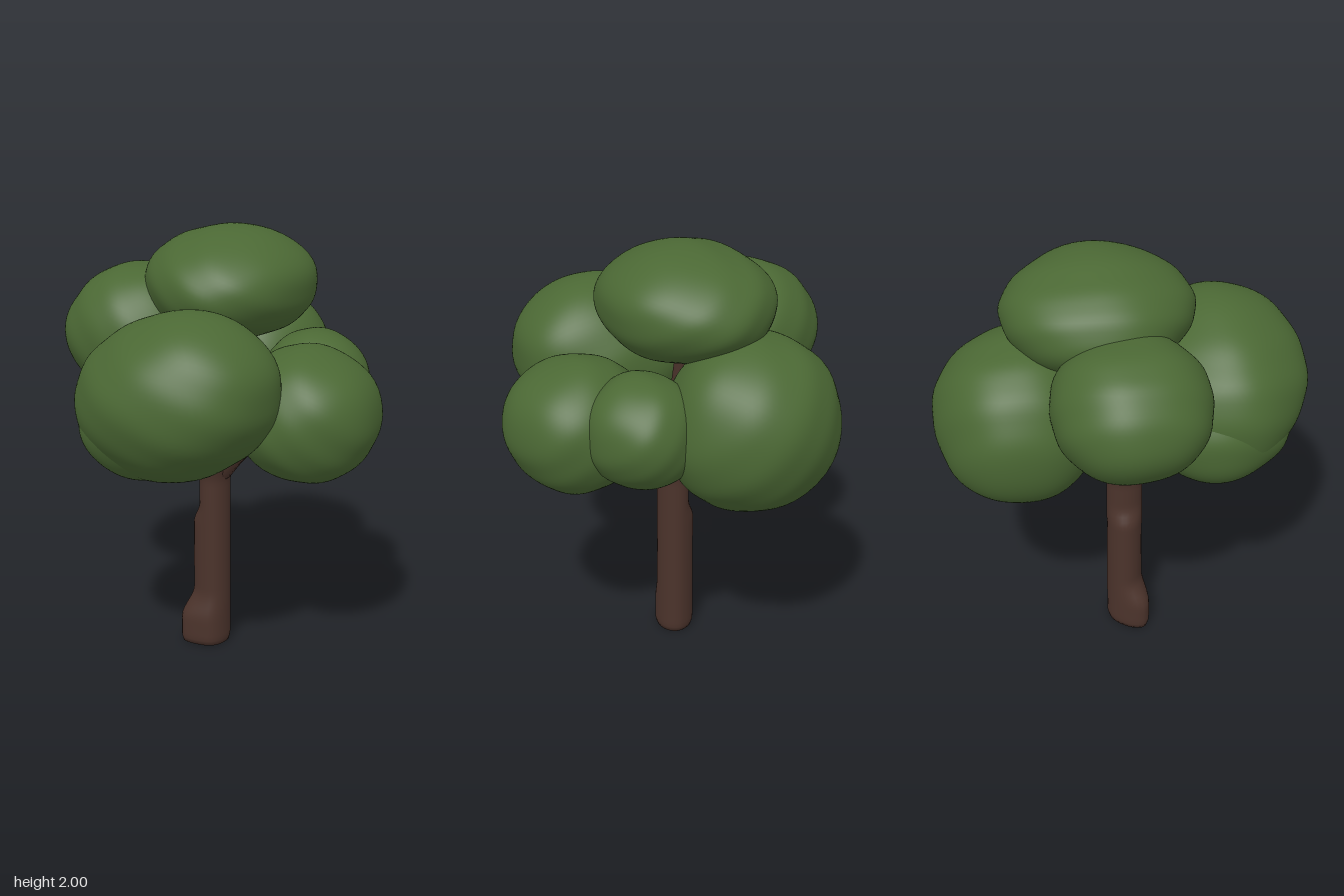
import * as THREE from 'three';
import { mergeVertices } from 'three/addons/utils/BufferGeometryUtils.js';

const leafGreen = new THREE.MeshStandardMaterial({ color: 0x4b6834 });
leafGreen.name = 'leafGreen';
const barkBrown = new THREE.MeshStandardMaterial({ color: 0x4b332b });
barkBrown.name = 'barkBrown';

// Rounded, softly lumpy ellipsoid of leaves
function leafClump(name, center, radii, tilt, seed) {
  let geo = new THREE.IcosahedronGeometry(1, 14);
  geo.deleteAttribute('uv');
  geo.deleteAttribute('normal');
  geo = mergeVertices(geo, 1e-4);
  const p = geo.attributes.position;
  const v = new THREE.Vector3();
  for (let i = 0; i < p.count; i++) {
    v.fromBufferAttribute(p, i).normalize();
    const lump = 0.014 * Math.sin(4 * v.x + seed) * Math.cos(5 * v.y + 2 * seed)
      + 0.012 * Math.sin(6 * v.z + 3 * seed + 2 * v.x)
      + 0.005 * Math.sin(11 * v.x + 9 * v.y + seed);
    v.multiplyScalar(1 + lump);
    p.setXYZ(i, v.x * radii[0], v.y * radii[1], v.z * radii[2]);
  }
  geo.computeVertexNormals();
  const mesh = new THREE.Mesh(geo, leafGreen);
  mesh.name = name;
  mesh.position.set(...center);
  mesh.rotation.z = tilt;
  return mesh;
}

// Trunk with a stepped swelling on one side and a flared foot
function trunk() {
  const H = 0.94;
  let geo = new THREE.CylinderGeometry(1, 1, H, 28, 40);
  geo.deleteAttribute('uv');
  geo.deleteAttribute('normal');
  geo = mergeVertices(geo, 1e-4);
  const p = geo.attributes.position;
  const step = THREE.MathUtils.smoothstep;
  for (let i = 0; i < p.count; i++) {
    const y = p.getY(i) + H / 2;
    const cx = p.getX(i), cz = p.getZ(i);
    const bevel = 0.9 + 0.1 * step(y, 0, 0.03);
    const swell = 0.035 * (1 - step(y, 0.6, 0.7));
    const foot = 1 - step(y, 0.12, 0.27);
    const flare = step(y, 0.82, 0.94) * 0.025;
    const side = Math.max(0, -cx);
    const toe = Math.pow(Math.max(0, -cx * 0.87 + cz * 0.5), 3);
    const x = cx * (0.07 + flare) * bevel - side * swell - toe * foot * 0.045;
    const z = cz * (0.084 + flare) * bevel + toe * foot * 0.035 + Math.max(0, cz) * foot * 0.022;
    p.setXYZ(i, x - 0.045, y, z + 0.015);
  }
  geo.computeVertexNormals();
  const mesh = new THREE.Mesh(geo, barkBrown);
  mesh.name = 'trunk';
  return mesh;
}

// Tapered limb swept along a bent path from the trunk head
function branch(tip, r0) {
  const start = new THREE.Vector3(-0.045, 0.84, 0.015);
  const end = new THREE.Vector3(...tip);
  const mid = start.clone().lerp(end, 0.45);
  mid.y += 0.03;
  const curve = new THREE.CatmullRomCurve3([start, mid, end]);
  const segs = 12, sides = 10;
  const geo = new THREE.TubeGeometry(curve, segs, r0, sides);
  const p = geo.attributes.position;
  const v = new THREE.Vector3();
  for (let i = 0; i < p.count; i++) {
    const t = Math.floor(i / (sides + 1)) / segs;
    const c = curve.getPointAt(t);
    v.fromBufferAttribute(p, i).sub(c).multiplyScalar(1 - 0.65 * t).add(c);
    p.setXYZ(i, v.x, v.y, v.z);
  }
  const mesh = new THREE.Mesh(geo, barkBrown);
  mesh.name = 'branch';
  return mesh;
}

export function createModel() {
  const tree = new THREE.Group();
  tree.name = 'tree';

  const canopy = new THREE.Group();
  canopy.name = 'canopy';
  const clumps = [
    ['topClump', [-0.02, 1.745, -0.1], [0.385, 0.255, 0.425], 0, 0.4],
    ['rightClump', [-0.44, 1.495, 0.0], [0.35, 0.315, 0.355], 0, 1.7],
    ['frontClump', [0.01, 1.345, 0.46], [0.47, 0.365, 0.385], 0.28, 2.6],
    ['lowerFrontClump', [-0.16, 1.215, 0.41], [0.3, 0.275, 0.34], 0.1, 3.1],
    ['backClump', [-0.1, 1.27, -0.47], [0.405, 0.4, 0.375], 0, 4.2],
    ['leftClump', [0.45, 1.225, 0.07], [0.33, 0.305, 0.335], 0, 5.3],
    ['backLeftClump', [0.34, 1.275, -0.25], [0.255, 0.255, 0.27], 0, 6.1],
  ];
  for (const c of clumps) canopy.add(leafClump(...c));
  tree.add(canopy);

  const wood = new THREE.Group();
  wood.name = 'wood';
  wood.add(trunk());
  // One limb reaching into each clump
  const tips = [
    [[-0.03, 1.62, -0.08], 0.06],
    [[-0.32, 1.36, 0.0], 0.055],
    [[-0.02, 1.2, 0.3], 0.06],
    [[-0.08, 1.15, -0.3], 0.06],
    [[0.3, 1.12, 0.05], 0.06],
    [[0.25, 1.18, -0.2], 0.045],
  ];
  for (const [tip, r] of tips) wood.add(branch(tip, r));
  tree.add(wood);

  return tree;
}
